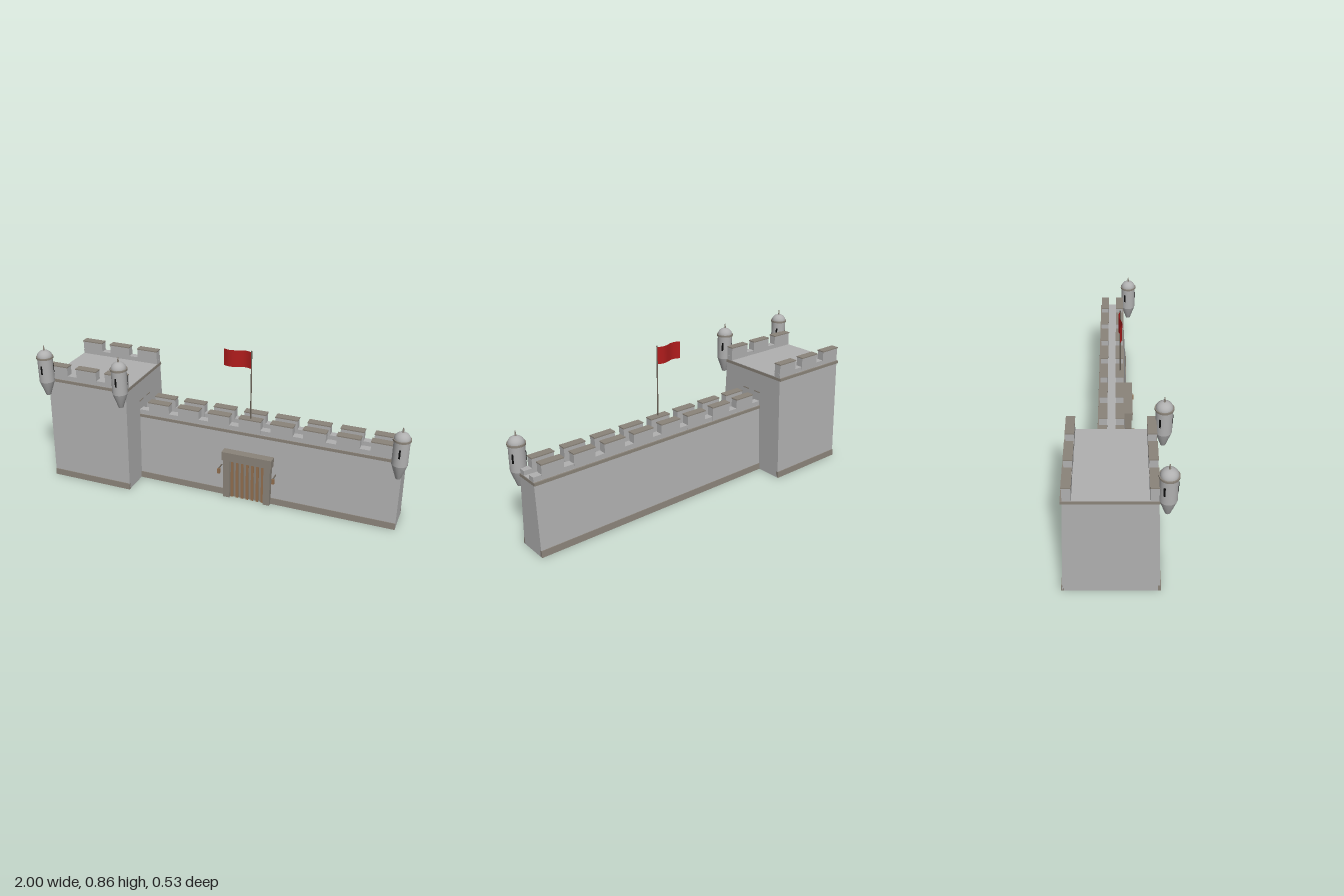
import * as THREE from 'three';

const mat = (name, color, extra = {}) => {
  const m = new THREE.MeshStandardMaterial({ color, ...extra });
  m.name = name;
  return m;
};

export function createModel() {
  const stone = mat('stone', 0xb0b0b0);
  const trim = mat('trim stone', 0x8b847a);
  const wood = mat('wood', 0x94704f);
  const poleMat = mat('pole', 0x6f675c);
  const dark = mat('dark slit', 0x0c0c0c);
  const red = mat('red cloth', 0xb01c1c, { side: THREE.DoubleSide });

  const root = new THREE.Group();
  const add = (parent, name, geo, material) => {
    const m = new THREE.Mesh(geo, material);
    m.name = name;
    parent.add(m);
    return m;
  };
  const group = (name) => {
    const g = new THREE.Group();
    g.name = name;
    root.add(g);
    return g;
  };
  // Box from its limits on each axis
  const box = (parent, name, x0, x1, y0, y1, z0, z1, material) => {
    const g = new THREE.BoxGeometry(x1 - x0, y1 - y0, z1 - z0);
    g.translate((x0 + x1) / 2, (y0 + y1) / 2, (z0 + z1) / 2);
    return add(parent, name, g, material);
  };
  // Prism along x from a (z, y) outline
  const prism = (parent, name, x0, x1, pts, material) => {
    const shape = new THREE.Shape(pts.map(([z, y]) => new THREE.Vector2(z, y)));
    const g = new THREE.ExtrudeGeometry(shape, { depth: x1 - x0, bevelEnabled: false });
    g.rotateY(-Math.PI / 2).translate(x1, 0, 0);
    return add(parent, name, g, material);
  };

  // Battered block with base courses, cornice and two battlements
  function rampart(name, o) {
    const g = group(name);
    const { x0, x1, h, front, back } = o; // front/back: [z at bottom, z at top]
    prism(g, 'body', x0, x1, [[back[0], 0], [front[0], 0], [front[1], h], [back[1], h]], stone);
    const bandH = 0.036, t = 0.004;
    for (const [face, s] of [[front, 1], [back, -1]]) {
      const zTop = face[0] + (face[1] - face[0]) * bandH / h;
      prism(g, 'baseCourse', x0, x1,
        [[face[0] - s * 0.01, 0], [face[0] + s * t, 0], [zTop + s * t, bandH], [zTop - s * 0.01, bandH]], trim);
    }
    box(g, 'cornice', x0 - 0.002, x1 + 0.002, h - 0.018, h - 0.002,
      back[1] - 0.009, front[1] + 0.005, trim);
    // Low parapets and capped merlons
    for (const [z0, z1] of [[front[1] - 0.04, front[1]], [back[1], back[1] + 0.04]]) {
      box(g, 'parapet', x0, x1, h, h + 0.024, z0 + 0.001, z1 - 0.001, stone);
      for (let i = 0; i < o.merlons; i++) {
        const m = o.start + i * o.pitch;
        box(g, 'merlon', m, m + 0.121, h, h + o.merlonH - 0.006, z0, z1, stone);
        box(g, 'merlonCap', m - 0.002, m + 0.123, h + o.merlonH - 0.006, h + o.merlonH,
          z0 - 0.002, z1 + 0.002, trim);
      }
    }
  }
  rampart('tower', {
    x0: -0.97, x1: -0.495, h: 0.601, front: [0.208, 0.185], back: [-0.258, -0.235],
    merlons: 3, start: -0.968, pitch: 0.1755, merlonH: 0.078,
  });
  rampart('wall', {
    x0: -0.66, x1: 0.962, h: 0.398, front: [0.058, 0.038], back: [-0.108, -0.088],
    merlons: 9, start: -0.616, pitch: 0.1765, merlonH: 0.078,
  });

  // Hanging corner turrets; y is the height of the lower tip
  function turret(x, y, z) {
    const g = group('turret');
    g.position.set(x, y, z);
    const r = 0.041;
    const lathe = (name, pts, material) =>
      add(g, name, new THREE.LatheGeometry(pts.map(([a, b]) => new THREE.Vector2(a, b)), 24), material);
    lathe('turretFoot', [[0, 0], [0.013, 0], [r, 0.082]], stone);
    lathe('turretBody', [[r, 0.082], [r, 0.22]], stone);
    const ring = add(g, 'turretRing', new THREE.CylinderGeometry(0.046, 0.046, 0.01, 24), trim);
    ring.position.y = 0.219;
    const dome = add(g, 'turretDome',
      new THREE.SphereGeometry(r, 24, 10, 0, Math.PI * 2, 0, Math.PI / 2), stone);
    dome.scale.y = 0.9;
    dome.position.y = 0.222;
    lathe('turretFinial', [[0.006, 0.255], [0.004, 0.264], [0.004, 0.27], [0.002, 0.284], [0, 0.286]], trim);
    for (let i = 0; i < 3; i++) {
      const a = i * Math.PI * 2 / 3;
      const slit = add(g, 'arrowSlit', new THREE.BoxGeometry(0.009, 0.048, 0.003), dark);
      slit.position.set(Math.sin(a) * r, 0.155, Math.cos(a) * r);
      slit.rotation.y = a;
    }
  }
  turret(-0.955, 0.518, 0.223);
  turret(-0.508, 0.518, 0.223);
  turret(0.95, 0.316, 0.073);

  // Gate with frame, panel and vertical bars
  const gate = group('gate');
  const cx = 0.152;
  box(gate, 'gatePanel', cx - 0.1, cx + 0.1, 0, 0.235, 0.04, 0.063, trim);
  for (const s of [-1, 1]) {
    const a = cx + s * 0.097, b = cx + s * 0.133;
    box(gate, 'gateJamb', Math.min(a, b), Math.max(a, b), 0, 0.233, 0.03, 0.084, trim);
  }
  box(gate, 'gateLintel', cx - 0.141, cx + 0.141, 0.232, 0.282, 0.03, 0.09, trim);
  for (let i = 0; i < 7; i++) {
    const x = cx + (i - 3) * 0.029;
    box(gate, 'gateBar', x - 0.007, x + 0.007, 0, 0.233, 0.06, 0.07, wood);
  }

  // Lanterns on brackets either side of the gate
  for (const s of [-1, 1]) {
    const x = cx + s * 0.155;
    box(gate, 'lanternBracket', x - 0.003, x + 0.003, 0.177, 0.182, 0.04, 0.095, poleMat);
    box(gate, 'lantern', x - 0.007, x + 0.007, 0.15, 0.178, 0.086, 0.1, wood);
  }

  // Flagpole and waving flag
  const flagGroup = group('flag');
  flagGroup.position.set(0.15, 0, 0.02);
  const pole = add(flagGroup, 'flagpole', new THREE.CylinderGeometry(0.003, 0.004, 0.46, 10), poleMat);
  pole.position.y = 0.625;
  const knob = add(flagGroup, 'poleKnob', new THREE.SphereGeometry(0.004, 10, 8), poleMat);
  knob.position.y = 0.856;
  const cloth = new THREE.PlaneGeometry(0.15, 0.092, 16, 1);
  cloth.translate(-0.077, 0.805, 0);
  const p = cloth.attributes.position;
  for (let i = 0; i < p.count; i++) p.setZ(i, 0.01 * Math.sin((p.getX(i) / 0.15) * Math.PI * 2));
  cloth.computeVertexNormals();
  add(flagGroup, 'flagCloth', cloth, red);

  return root;
}
